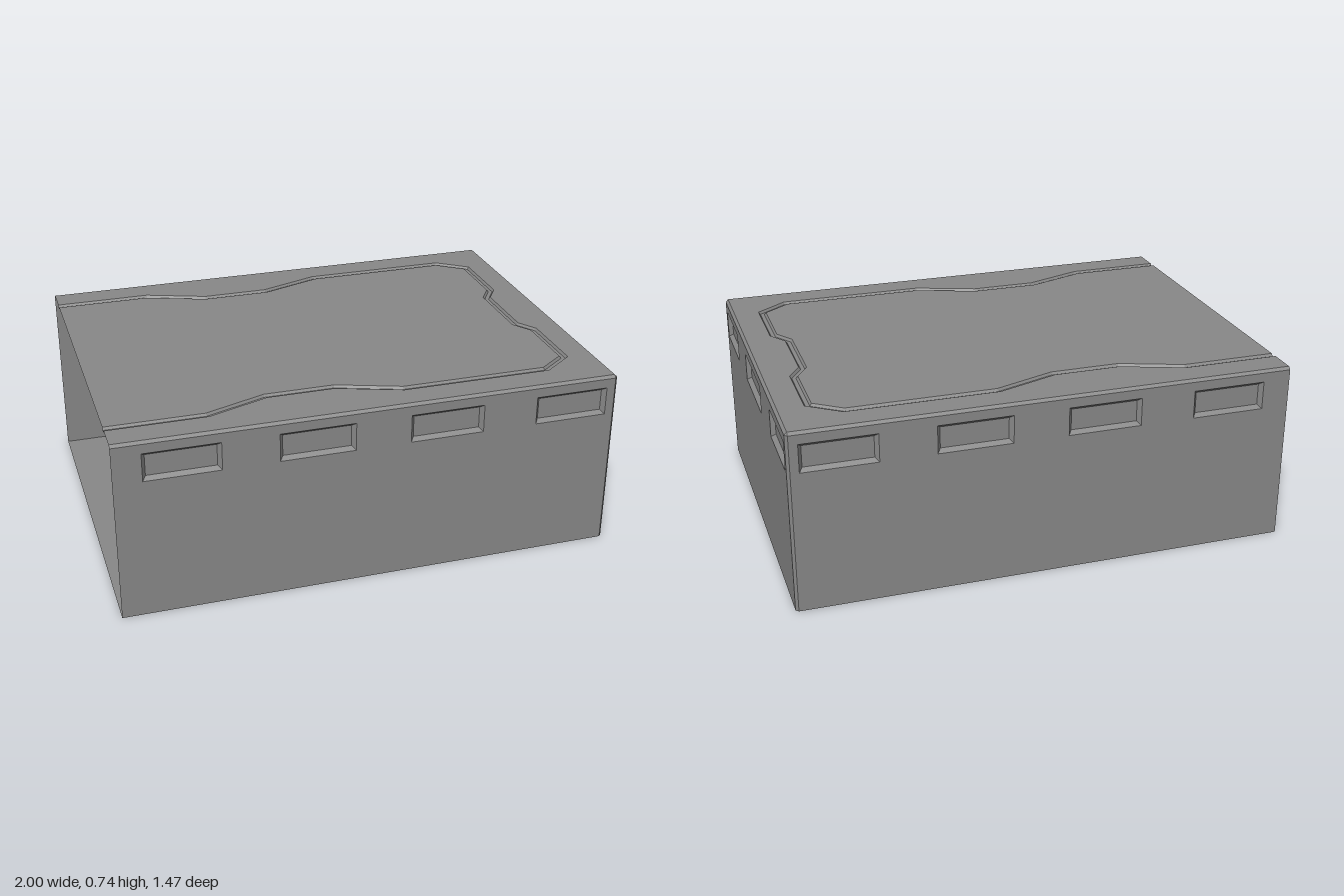
import * as THREE from 'three';
import { mergeGeometries } from 'three/addons/utils/BufferGeometryUtils.js';

const H = 0.737, D = 0.737, C = 0.011; // height, half depth, chamfer
const SLOT = { bottom: 0.574, top: 0.688, inset: 0.014, depth: 0.018 };
const GROOVE = { width: 0.03, slope: 0.007, depth: 0.01 };

const material = new THREE.MeshStandardMaterial({ color: 0x888888, side: THREE.DoubleSide, flatShading: true });

const V = (x, y, z) => new THREE.Vector3(x, y, z);
const P = (x, y) => new THREE.Vector2(x, y);

// Surface between two rows of points
function strip(a, b) {
  const pts = [];
  for (let i = 0; i < a.length - 1; i++) pts.push(a[i], a[i + 1], b[i + 1], a[i], b[i + 1], b[i]);
  const g = new THREE.BufferGeometry().setFromPoints(pts);
  g.computeVertexNormals();
  return g;
}

function flat(points, holes = []) {
  const shape = new THREE.Shape(points);
  holes.forEach(h => shape.holes.push(new THREE.Path(h)));
  const g = new THREE.ShapeGeometry(shape).toNonIndexed();
  g.deleteAttribute('uv');
  return g;
}

function mesh(name, ...geometries) {
  const m = new THREE.Mesh(mergeGeometries(geometries), material);
  m.name = name;
  return m;
}

const rect = (x0, x1, y0, y1) => [P(x0, y0), P(x1, y0), P(x1, y1), P(x0, y1)];

// Mitred offset of an open path towards its left
function offset(path, d) {
  return path.map((p, i) => {
    const a = path[Math.max(i - 1, 0)], b = path[Math.min(i + 1, path.length - 1)];
    const u = (i ? p.clone().sub(a) : b.clone().sub(p)).normalize();
    const v = (b !== p ? b.clone().sub(p) : p.clone().sub(a)).normalize();
    const n = P(-u.y - v.y, u.x + v.x).normalize();
    return p.clone().addScaledVector(n, d / (n.x * -u.y + n.y * u.x));
  });
}

// Wall facing +z with recessed slots, turned into place
function wall(name, x0, x1, slots, distance, angle) {
  const { bottom, top, inset, depth } = SLOT;
  const holes = slots.map(([a, b]) => rect(a, b, bottom, top));
  const parts = [flat(rect(x0, x1, 0, H - C), holes)];
  slots.forEach(([a, b], i) => {
    const inner = rect(a + inset, b - inset, bottom + inset, top - inset);
    const loop = (r, z) => [...r, r[0]].map(p => V(p.x, p.y, z));
    parts.push(strip(loop(holes[i], 0), loop(inner, -depth)));
    parts.push(flat(inner).translate(0, 0, -depth));
  });
  const m = mesh(name, ...parts.map(g => g.translate(0, 0, distance)));
  m.rotation.y = angle;
  return m;
}

function createTop() {
  // Half of the groove outline, mirrored front to back
  const half = [[-1, 0.615], [-0.61, 0.615], [-0.365, 0.525], [-0.095, 0.525], [0.155, 0.615],
    [0.76, 0.615], [0.887, 0.52], [0.887, 0.225], [0.837, 0.148]];
  const path = [...half.map(([x, y]) => P(x, -y)), ...half.map(([x, y]) => P(x, y)).reverse()];
  const { width, slope, depth } = GROOVE;
  const rows = [[0, 0], [slope, -depth], [width - slope, -depth], [width, 0]]
    .map(([d, z]) => offset(path, d).map(p => V(p.x, p.y, z)));
  const groove = rows.slice(1).map((row, i) => strip(rows[i], row));
  const rim = flat([...rect(-1, 1 - C, -D + C, D - C), ...path.slice().reverse()]);
  const panel = flat(offset(path, width));
  const place = g => g.rotateX(-Math.PI / 2).translate(0, H, 0);

  const top = new THREE.Group();
  top.name = 'top';
  top.add(mesh('topRim', place(rim)), mesh('topGroove', ...groove.map(place)), mesh('topPanel', place(panel)));
  return top;
}

function createChamfers() {
  const e = D - C, x = 1 - C, y = H - C;
  const lower = [V(-1, y, D), V(x, y, D), V(1, y, e), V(1, y, -e), V(x, y, -D), V(-1, y, -D)];
  const upper = [V(-1, H, e), V(x, H, e), V(x, H, e), V(x, H, -e), V(x, H, -e), V(-1, H, -e)];
  const corner = i => {
    const top = lower.slice(i, i + 2);
    return strip(top.map(p => V(p.x, 0, p.z)), top);
  };
  return mesh('edgeChamfers', strip(lower, upper), corner(1), corner(3));
}

export function createModel() {
  const model = new THREE.Group();
  model.name = 'openEndedCase';

  const longSlots = [-0.741, -0.225, 0.291, 0.807].map(c => [c - 0.148, c + 0.148]);
  const backSlots = longSlots.map(([a, b]) => [-b, -a]);
  const endSlots = [[-0.697, -0.4], [-0.178, 0.178], [0.4, 0.697]];
  model.add(
    wall('frontWall', -1, 1 - C, longSlots, D, 0),
    wall('backWall', -1 + C, 1, backSlots, D, Math.PI),
    wall('endWall', -D + C, D - C, endSlots, 1, Math.PI / 2),
    createTop(),
    createChamfers()
  );

  // Floor, with its two corners cut to meet the chamfers
  const floor = flat([P(-1, -D), P(1 - C, -D), P(1, -D + C), P(1, D - C), P(1 - C, D), P(-1, D)]);
  model.add(mesh('floor', floor.rotateX(Math.PI / 2)));
  return model;
}
